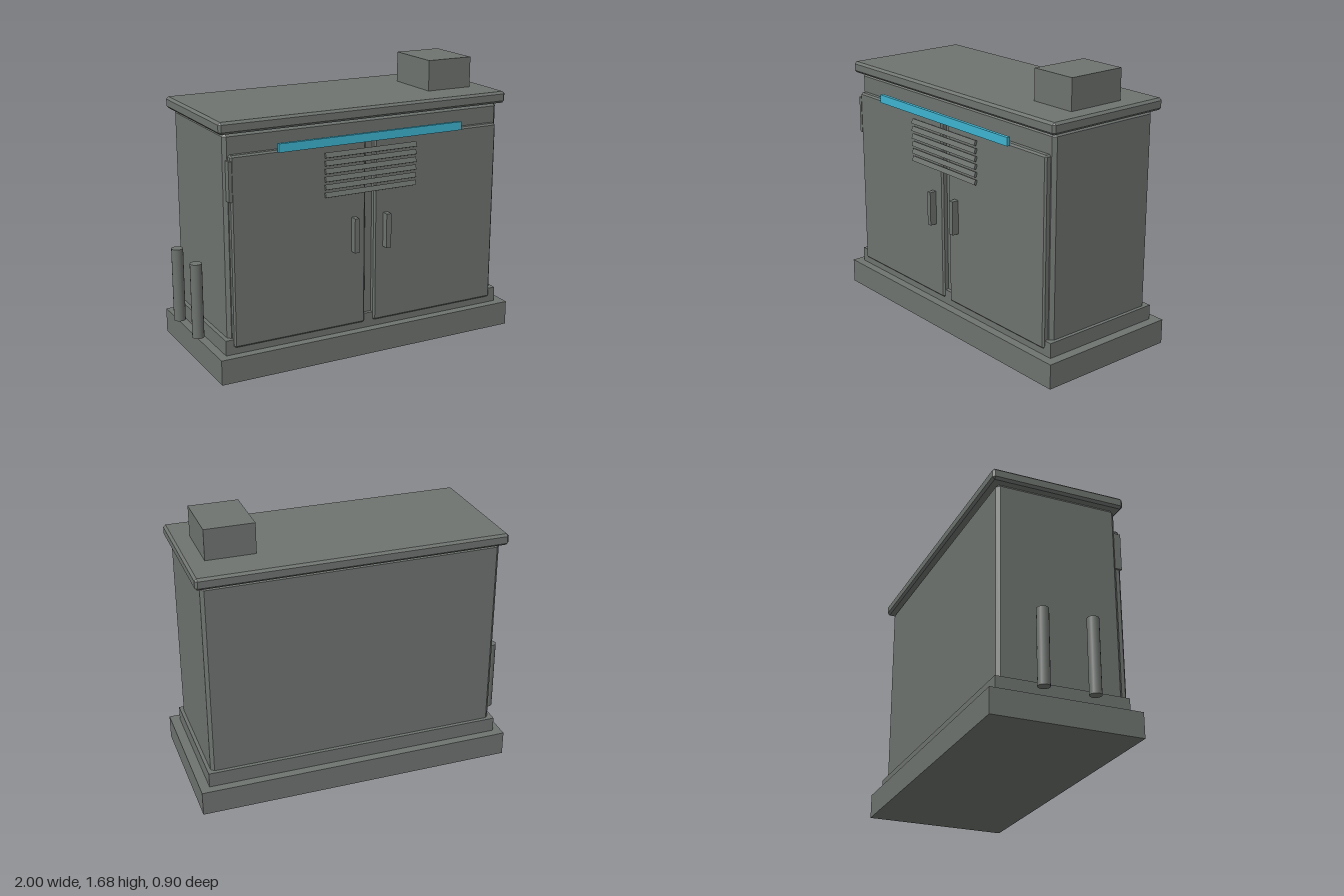
import * as THREE from 'three';
import { ConvexGeometry } from 'three/addons/geometries/ConvexGeometry.js';

const metal = new THREE.MeshStandardMaterial({ color: 0x6e736f });
metal.name = 'grey green metal';
const cyan = new THREE.MeshStandardMaterial({ color: 0x3db5d0 });
cyan.name = 'cyan light';

// Box given by its limits; a chamfer above zero cuts every edge.
function block(name, [x0, x1], [y0, y1], [z0, z1], chamfer = 0, material = metal) {
  const w = x1 - x0, h = y1 - y0, d = z1 - z0;
  let geometry;
  if (chamfer > 0) {
    const points = [], c = chamfer;
    for (const sx of [-1, 1]) for (const sy of [-1, 1]) for (const sz of [-1, 1]) {
      for (const [a, b, e] of [[0, c, c], [c, 0, c], [c, c, 0]]) {
        points.push(new THREE.Vector3(sx * (w / 2 - a), sy * (h / 2 - b), sz * (d / 2 - e)));
      }
    }
    geometry = new ConvexGeometry(points);
  } else {
    geometry = new THREE.BoxGeometry(w, h, d);
  }
  const mesh = new THREE.Mesh(geometry, material);
  mesh.name = name;
  mesh.position.set((x0 + x1) / 2, (y0 + y1) / 2, (z0 + z1) / 2);
  return mesh;
}

export function createModel() {
  const model = new THREE.Group();
  model.name = 'utilityCabinet';

  // Stepped footing, cabinet body, lid and roof box
  model.add(
    block('base', [-0.945, 1], [0, 0.15], [-0.447, 0.447]),
    block('plinth', [-0.895, 0.943], [0.15, 0.24], [-0.395, 0.395]),
    block('body', [-0.87, 0.922], [0.21, 1.43], [-0.372, 0.372], 0.02),
    block('lid', [-0.907, 0.957], [1.43, 1.5], [-0.41, 0.41], 0.014),
    block('roofBox', [0.55, 0.847], [1.49, 1.685], [-0.185, 0.185])
  );

  // Double doors with upright handles
  model.add(
    block('leftPanelDoor', [-0.845, -0.004], [0.19, 1.31], [0.36, 0.407], 0.01),
    block('rightPanelDoor', [0.054, 0.895], [0.19, 1.31], [0.36, 0.407], 0.01),
    block('doorHandle', [-0.097, -0.068], [0.65, 0.858], [0.4, 0.45]),
    block('doorHandle', [0.113, 0.145], [0.65, 0.858], [0.4, 0.45]),
    block('hingePlate', [-0.858, -0.838], [1.05, 1.28], [0.365, 0.408])
  );

  // Tilted vent slats, lower edges pointing outwards
  const vent = new THREE.Group();
  vent.name = 'vent';
  for (let i = 0; i < 6; i++) {
    const y = 1.016 + i * 0.0448 + i * 0.0022 * 0.8;
    const slat = block('ventSlat', [-0.273, 0.323], [y - 0.015, y + 0.015], [0.41, 0.425]);
    slat.rotation.x = -0.35;
    vent.add(slat);
  }
  model.add(vent);

  // Light bar above the doors
  model.add(block('lightBar', [-0.57, 0.622], [1.305, 1.355], [0.42, 0.442], 0, cyan));

  // Conduits beside the cabinet
  for (const z of [-0.15, 0.15]) {
    const conduit = new THREE.Mesh(new THREE.CylinderGeometry(0.035, 0.035, 0.45, 16), metal);
    conduit.name = 'conduit';
    conduit.position.set(-0.965, 0.415, z);
    model.add(conduit);
  }
  return model;
}
